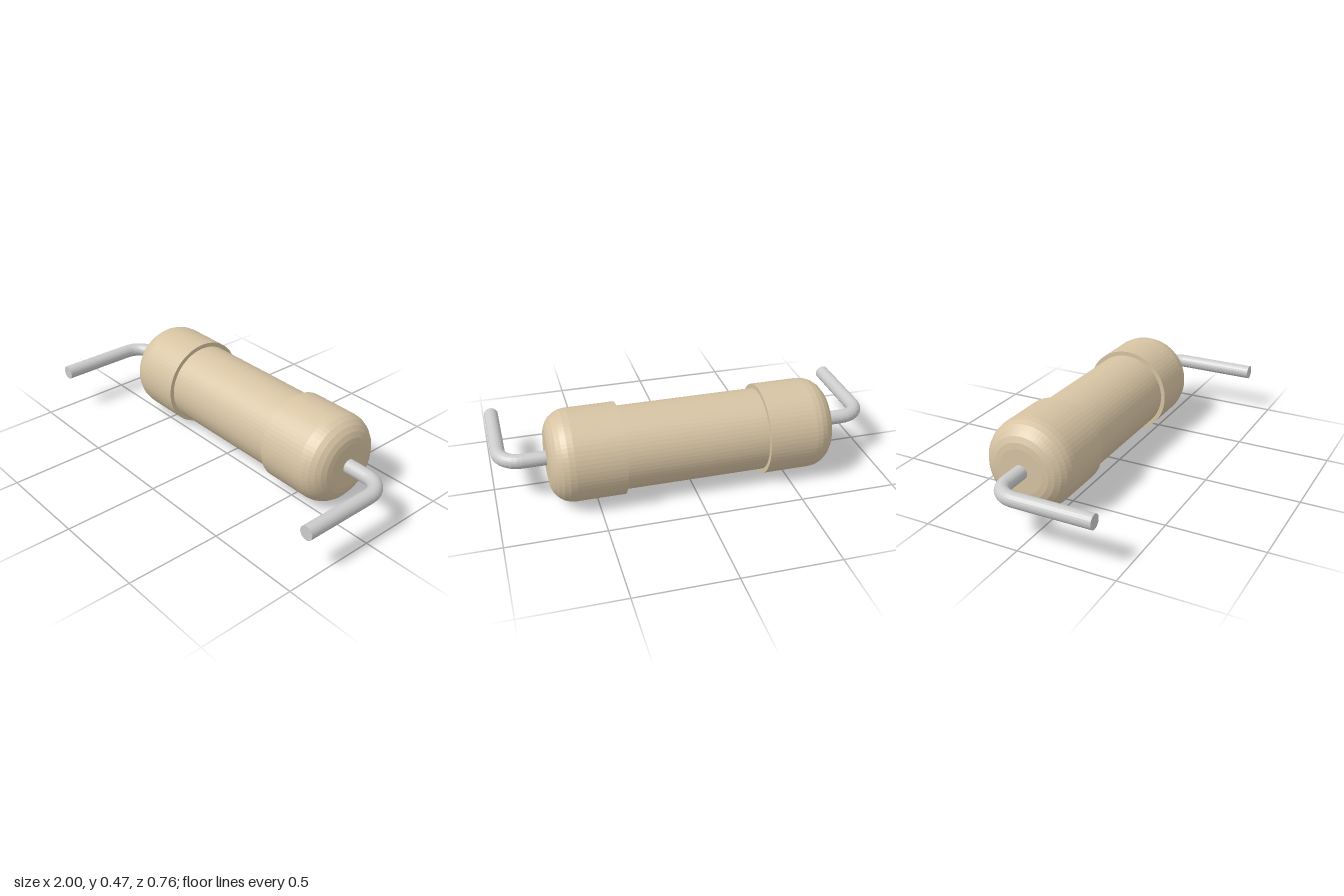
import * as THREE from 'three';

const AXIS_Y = 0.236, AXIS_Z = -0.142;   // centre line of the body
const CAP_R = 0.236, CORE_R = 0.213, CAP_IN = 0.367, CAP_OUT = 0.735, FILLET = 0.118;
const WIRE_R = 0.037, WIRE_X = 0.963, BEND_R = 0.11, WIRE_END = 0.378;

export function createModel() {
  const model = new THREE.Group();
  model.name = 'resistor';
  const tan = new THREE.MeshStandardMaterial({ color: 0xd6c3a3, flatShading: true });
  const grey = new THREE.MeshStandardMaterial({ color: 0xcccccc, flatShading: true });

  const add = (parent, name, geometry, material) => {
    const mesh = new THREE.Mesh(geometry, material);
    mesh.name = name;
    parent.add(mesh);
    return mesh;
  };

  // Slim middle of the body
  const core = new THREE.CylinderGeometry(CORE_R, CORE_R, CAP_IN * 2 + 0.02, 64, 1, true).rotateZ(-Math.PI / 2);
  add(model, 'bodyCore', core, tan).position.set(0, AXIS_Y, AXIS_Z);

  // Cap profile: inner step, straight wall, rounded shoulder, flat end
  const profile = [new THREE.Vector2(CORE_R - 0.01, CAP_IN), new THREE.Vector2(CAP_R, CAP_IN)];
  for (let i = 0; i <= 6; i++) {
    const a = (i / 6) * Math.PI / 2;
    profile.push(new THREE.Vector2(CAP_R - FILLET + FILLET * Math.cos(a), CAP_OUT - FILLET + FILLET * Math.sin(a)));
  }
  profile.push(new THREE.Vector2(0, CAP_OUT));
  const cap = new THREE.LatheGeometry(profile, 64).rotateZ(-Math.PI / 2);

  // Wire: stub out of the cap, quarter bend, straight leg to the front
  const bendX = WIRE_X - BEND_R, stubStart = CAP_OUT - 0.02;
  const legStart = BEND_R, legEnd = WIRE_END - AXIS_Z;
  const stub = new THREE.CylinderGeometry(WIRE_R, WIRE_R, bendX - stubStart, 24, 1, true)
    .rotateZ(-Math.PI / 2).translate((bendX + stubStart) / 2, 0, 0);
  const bend = new THREE.TorusGeometry(BEND_R, WIRE_R, 24, 8, Math.PI / 2)
    .rotateX(-Math.PI / 2).translate(bendX, 0, BEND_R);
  const leg = new THREE.CylinderGeometry(WIRE_R, WIRE_R, legEnd - legStart, 24)
    .rotateX(Math.PI / 2).translate(WIRE_X, 0, (legStart + legEnd) / 2);

  // Both ends are the same, turned half around the front axis
  for (const [side, turn] of [['left', 0], ['right', Math.PI]]) {
    const end = new THREE.Group();
    end.name = side + 'End';
    end.position.set(0, AXIS_Y, AXIS_Z);
    end.rotation.z = turn;
    add(end, side + 'Cap', cap, tan);
    add(end, side + 'WireStub', stub, grey);
    add(end, side + 'WireBend', bend, grey);
    add(end, side + 'WireLeg', leg, grey);
    model.add(end);
  }
  return model;
}
